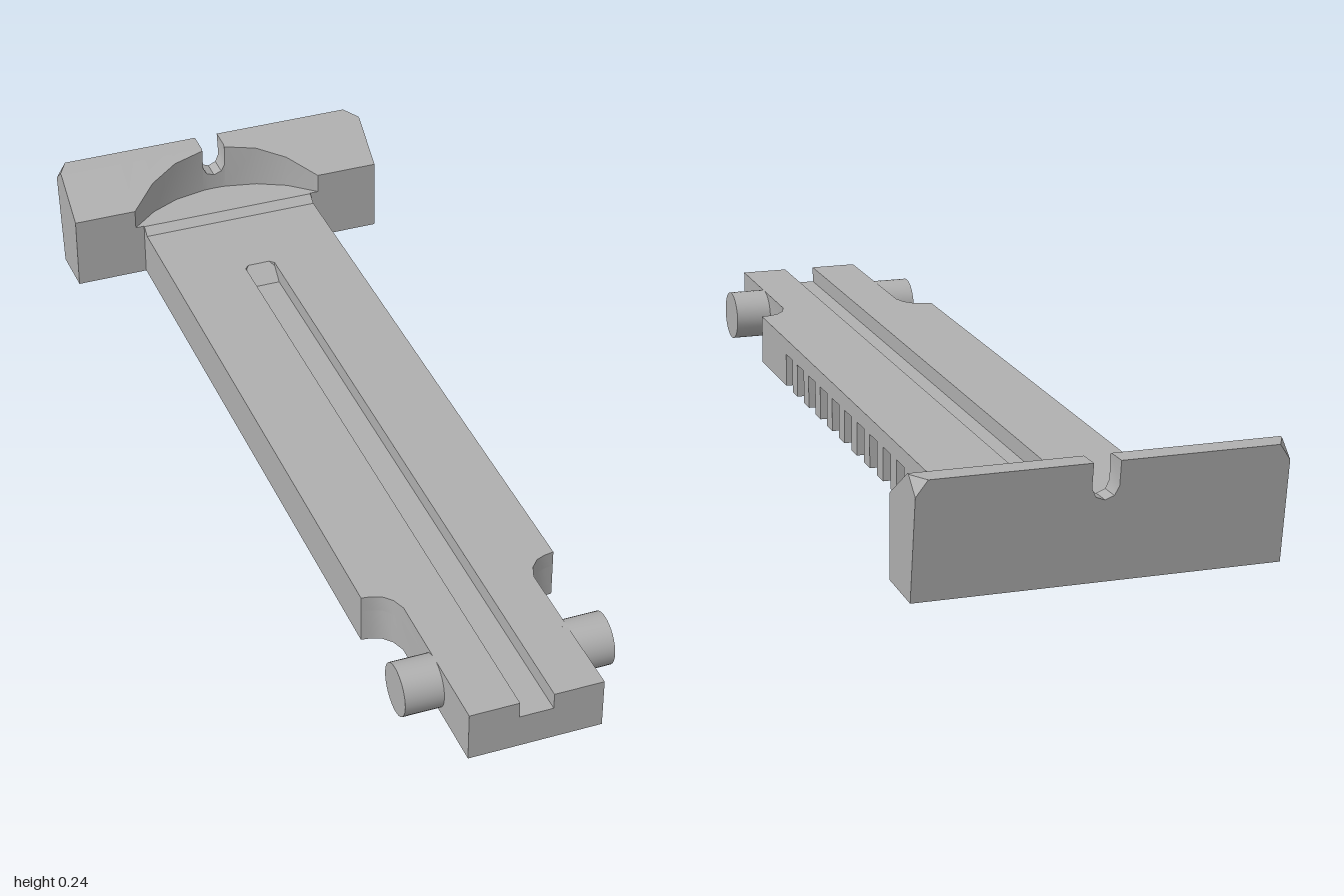
import * as THREE from 'three';
import { toCreasedNormals } from 'three/addons/utils/BufferGeometryUtils.js';

const steel = new THREE.MeshStandardMaterial({ color: 0xb0b0b0 });
steel.name = 'grey steel';

const SLOPE = 0.0245;    // the bar falls towards the back
const THICK = 0.108, SPLIT = 0.073;
const HALF = 0.205, NECK = 0.138, GROOVE = 0.035;

function add(group, name, geometry) {
  const mesh = new THREE.Mesh(toCreasedNormals(geometry, 0.5), steel);
  mesh.name = name;
  group.add(mesh);
}

// Tilt a level geometry so it follows the bar
function tilt(geometry) {
  const p = geometry.attributes.position;
  for (let i = 0; i < p.count; i++) {
    p.setY(i, p.getY(i) + 0.052 + SLOPE * (p.getZ(i) - 1));
  }
  return geometry;
}

// Extrude a plan outline of [x, z] points between two heights
function layer(points, y0, y1) {
  const shape = new THREE.Shape(points.map(([x, z]) => new THREE.Vector2(x, z)));
  const g = new THREE.ExtrudeGeometry(shape, { depth: y1 - y0, bevelEnabled: false });
  return tilt(g.rotateX(Math.PI / 2).translate(0, y1, 0));
}

// Extrude a side profile of [z, y] points across a width centred on x = 0
function across(points, width) {
  const shape = new THREE.Shape(points.map(([z, y]) => new THREE.Vector2(-z, y)));
  const g = new THREE.ExtrudeGeometry(shape, { depth: width, bevelEnabled: false });
  return tilt(g.rotateY(Math.PI / 2).translate(-width / 2, 0, 0));
}

// Head: side profiles at stations along x, with a round recess, a U notch and clipped corners
function headGeometry() {
  const top = 0.243, front = -0.845, depth = 0.1, halfRecess = 0.225;
  const R = (halfRecess ** 2 + depth ** 2) / (2 * depth);
  const backZ = y => -0.965 - 0.035 * y / top;
  const profile = (x, notchY, clipped) => {
    const a = Math.min(Math.abs(x), halfRecess);
    const wall = front - depth + R - Math.sqrt(R * R - a * a);
    const y = notchY ?? top;
    const wallTop = notchY ?? 0.175 + 0.65 * (front - wall);
    return [
      [front, 0.006], [front, 0.13], [wall, 0.13], [wall, wallTop], [-0.95, y],
      clipped ? [-0.957, y] : [backZ(y), y],
      clipped ? [backZ(0.21), 0.21] : [backZ(y), y],
      [-0.965, 0],
    ].map(([z, h]) => new THREE.Vector3(x, h, z));
  };
  const half = [
    [0.018, 0.174], [0.027, 0.192], [0.027], [0.1], [0.165], [0.225], [0.345], [0.368, undefined, true],
  ];
  const stations = [
    ...half.map(([x, n, c]) => [-x, n, c]).reverse(), [0, 0.167], ...half,
  ].map(s => profile(...s));

  const pos = [];
  const tri = (a, b, c) => {
    const area = b.clone().sub(a).cross(c.clone().sub(a)).length();
    if (area > 1e-8) pos.push(...a, ...b, ...c);
  };
  for (let i = 0; i < stations.length - 1; i++) {
    const s = stations[i], t = stations[i + 1];
    for (let j = 0; j < s.length; j++) {
      const k = (j + 1) % s.length;
      tri(s[j], t[j], t[k]);
      tri(s[j], t[k], s[k]);
    }
  }
  const first = stations[0], last = stations[stations.length - 1];
  for (let j = 1; j < first.length - 1; j++) {
    tri(first[0], first[j], first[j + 1]);
    tri(last[0], last[j + 1], last[j]);
  }
  const g = new THREE.BufferGeometry();
  g.setAttribute('position', new THREE.Float32BufferAttribute(pos, 3));
  return g;
}

export function createModel() {
  const model = new THREE.Group();
  model.name = 'sightLeaf';

  // Right-hand edge from shoulder to front, with a hollow corner
  const edge = [[HALF, 0.602], [0.185, 0.605], [0.165, 0.613], [0.148, 0.632], [NECK, 0.66], [NECK, 1]];
  const mirrored = edge.map(([x, z]) => [-x, z]).reverse();

  // Row of slots cut into the +x edge
  const slots = [];
  for (let i = 13; i >= 0; i--) {
    const z = 0.404 - i * 0.088;
    slots.push([HALF, z - 0.05], [0.12, z - 0.05], [0.12, z], [HALF, z]);
  }
  add(model, 'toothedBar', layer(
    [[-HALF, -0.85], [HALF, -0.85], ...slots, ...edge, ...mirrored], 0, SPLIT));

  // Upper layer with the long groove open at the front
  add(model, 'groovedTop', layer(
    [[-HALF, -0.85], [HALF, -0.85], ...edge,
      [GROOVE, 1], [GROOVE, -0.61], [0.025, -0.62], [-0.025, -0.62], [-GROOVE, -0.61], [-GROOVE, 1],
      ...mirrored], SPLIT, THICK));
  add(model, 'grooveRamp', across([[-0.58, SPLIT], [-0.62, SPLIT], [-0.62, THICK]], GROOVE * 2));

  // Small ramp leading up to the head
  add(model, 'headRamp', across(
    [[-0.822, THICK - 0.01], [-0.85, THICK - 0.01], [-0.85, 0.1235], [-0.842, 0.1235], [-0.822, THICK]],
    HALF * 2));

  // Pivot pins
  for (const side of [1, -1]) {
    const pin = new THREE.CylinderGeometry(0.054, 0.054, 0.09, 32).rotateZ(Math.PI / 2);
    add(model, side > 0 ? 'leftPin' : 'rightPin', pin.translate(side * 0.173, 0.102, 0.824));
  }

  add(model, 'notchedHead', headGeometry());
  return model;
}
